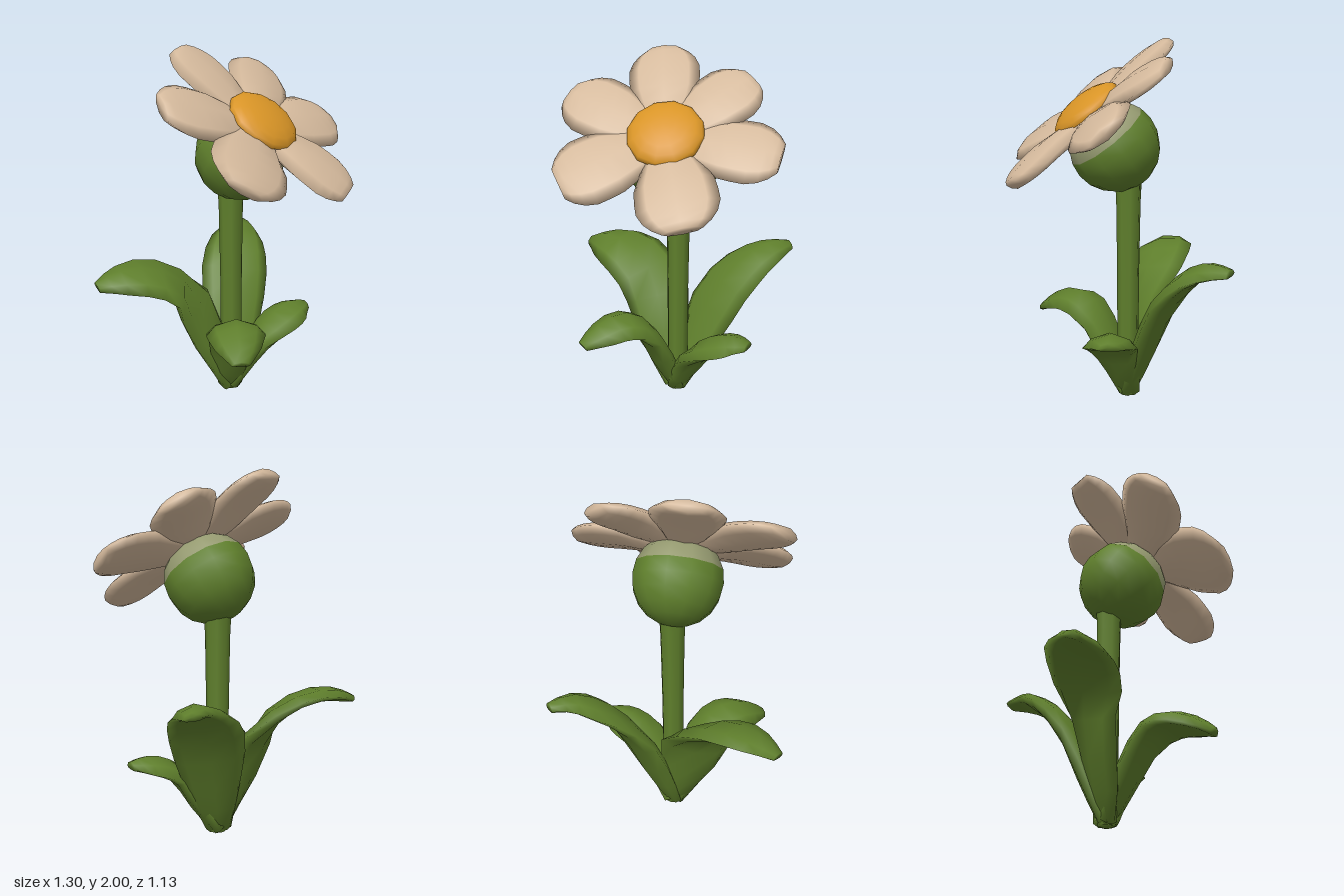
import * as THREE from 'three';

const material = (name, color) => {
  const m = new THREE.MeshStandardMaterial({ color });
  m.name = name;
  return m;
};

// Lofts a soft, closed blade along a spine; each point is [x, y, z, halfWidth, halfThickness, edgeLift].
// The up vector sets how the blade rolls about its spine.
function blade(points, steps, sides, up) {
  const spine = new THREE.CatmullRomCurve3(points.map(p => new THREE.Vector3(p[0], p[1], p[2])));
  const size = new THREE.CatmullRomCurve3(points.map(p => new THREE.Vector3(p[3], p[4], p[5])));
  const pos = [], index = [];
  for (let i = 0; i <= steps; i++) {
    const t = i / steps;
    const c = spine.getPoint(t), s = size.getPoint(t), dir = spine.getTangent(t);
    const side = dir.clone().cross(up).normalize();
    const normal = side.clone().cross(dir);
    for (let j = 0; j < sides; j++) {
      const a = (j / sides) * Math.PI * 2, across = Math.cos(a);
      const p = c.clone()
        .addScaledVector(side, across * s.x)
        .addScaledVector(normal, Math.sin(a) * s.y + across * across * s.z);
      pos.push(p.x, p.y, p.z);
    }
  }
  for (let i = 0; i < steps; i++) {
    for (let j = 0; j < sides; j++) {
      const k = (j + 1) % sides, a = i * sides + j, b = i * sides + k;
      index.push(a, a + sides, b, b, a + sides, b + sides);
    }
  }
  // end caps
  const first = points[0], last = points[points.length - 1], n = pos.length / 3;
  pos.push(first[0], first[1], first[2], last[0], last[1], last[2]);
  const end = steps * sides;
  for (let j = 0; j < sides; j++) {
    const k = (j + 1) % sides;
    index.push(n, j, k, n + 1, end + k, end + j);
  }
  const g = new THREE.BufferGeometry();
  g.setAttribute('position', new THREE.Float32BufferAttribute(pos, 3));
  g.setIndex(index);
  g.computeVertexNormals();
  return g;
}

export function createModel() {
  const green = material('leaf green', 0x5f7f2c);
  const pale = material('pale sepal green', 0x959a70);
  const cream = material('petal cream', 0xd4b99c);
  const orange = material('centre orange', 0xd89426);

  const flower = new THREE.Group();
  flower.name = 'flower';
  const add = (parent, name, geometry, mat) => {
    const m = new THREE.Mesh(geometry, mat);
    m.name = name;
    parent.add(m);
    return m;
  };

  // Stem
  const profile = [[0, 0], [0.05, 0], [0.06, 0.2], [0.062, 0.7], [0.068, 1.1], [0.075, 1.25]];
  add(flower, 'stem', new THREE.LatheGeometry(profile.map(p => new THREE.Vector2(...p)), 8), green)
    .position.set(0.04, 0.005, -0.105);

  // Four fleshy leaves arching out from the base: spine points [x, y, z, halfWidth], edge lifts and roll
  const leaves = {
    backRightLeaf: {
      spine: [[-0.17, 0.61, -0.27, 0.2], [-0.35, 0.745, -0.36, 0.2], [-0.53, 0.76, -0.44, 0.13], [-0.635, 0.725, -0.49, 0.045]],
      lifts: [0, -0.02, -0.03, -0.01], up: [-0.16, 1, 0.22],
    },
    backLeftLeaf: {
      spine: [[0.26, 0.58, -0.27, 0.2], [0.39, 0.75, -0.36, 0.18], [0.51, 0.825, -0.44, 0.11], [0.6, 0.825, -0.53, 0.045]],
      lifts: [0, -0.02, -0.03, -0.01], up: [0.09, 1, 0.11],
    },
    frontRightLeaf: {
      spine: [[-0.125, 0.455, 0.07, 0.16], [-0.22, 0.52, 0.155, 0.16], [-0.32, 0.48, 0.26, 0.12], [-0.385, 0.42, 0.33, 0.05]],
      lifts: [-0.02, -0.05, -0.04, -0.01], up: [0, 1, 0],
    },
    frontLeftLeaf: {
      spine: [[0.21, 0.32, 0.01, 0.14], [0.32, 0.405, 0.04, 0.15], [0.42, 0.435, 0.06, 0.12], [0.5, 0.43, 0.08, 0.05]],
      lifts: [-0.01, -0.04, -0.04, -0.01], up: [0, 1, 0],
    },
  };
  const base = [0.035, 0.02, -0.11];
  for (const [name, { spine, lifts, up }] of Object.entries(leaves)) {
    const mid = base.map((b, i) => b + (spine[0][i] - b) * 0.46);
    const rows = [
      [...base, 0.07, 0.04, 0],
      [...mid, spine[0][3] * 0.74, 0.055, 0.02],
      ...spine.map((p, i) => [...p, [0.052, 0.046, 0.037, 0.022][i], lifts[i]]),
    ];
    add(flower, name, blade(rows, 9, 8, new THREE.Vector3(...up)), green);
  }

  // Flower head tilts up and forward
  const worldUp = new THREE.Vector3(0, 1, 0);
  const tilt = new THREE.Quaternion().setFromUnitVectors(
    worldUp, new THREE.Vector3(0.07, 1, 0.81).normalize());

  // Bulb with a pale cap beneath the petals
  const bulb = new THREE.Group();
  bulb.name = 'bulb';
  bulb.position.set(0.03, 1.415, -0.03);
  bulb.quaternion.copy(tilt);
  const split = 1.27;
  add(bulb, 'bulbBody', new THREE.SphereGeometry(0.25, 12, 6, 0, Math.PI * 2, split, Math.PI - split), green);
  add(bulb, 'bulbCap', new THREE.SphereGeometry(0.25, 12, 4, 0, Math.PI * 2, 0, split), pale);
  flower.add(bulb);

  const head = new THREE.Group();
  head.name = 'flowerHead';
  head.position.set(0.03, 1.598, 0.11);
  head.quaternion.copy(tilt);
  flower.add(head);

  // Plump petals: [angle in degrees, width scale, length scale, lift]
  const petals = [
    [-3, 0.97, 1, -0.005], [49, 0.95, 0.92, 0.005], [105, 0.97, 0.97, 0],
    [161, 0.98, 1, -0.005], [218, 1.1, 0.98, 0], [293, 1.08, 0.95, 0.012],
  ];
  petals.forEach(([angle, width, length, lift], i) => {
    const rows = [
      [0.07, -0.03, 0, 0.1, 0.05, 0],
      [0.21, -0.015, 0, 0.15, 0.053, 0],
      [0.34, 0, 0, 0.195, 0.05, 0],
      [0.46, 0.002, 0, 0.2, 0.047, 0],
      [0.56, 0, 0, 0.165, 0.042, 0],
      [0.62, -0.003, 0, 0.095, 0.032, 0],
    ].map(r => [r[0] * length, r[1], r[2], r[3] * width, r[4], r[5]]);
    const p = add(head, 'petal' + (i + 1), blade(rows, 8, 8, worldUp), cream);
    p.rotation.y = THREE.MathUtils.degToRad(angle);
    p.position.y = lift;
  });

  // Domed centre
  const dome = add(head, 'flowerCentre', new THREE.SphereGeometry(0.21, 12, 5, 0, Math.PI * 2, 0, Math.PI / 2), orange);
  dome.scale.y = 0.38;
  dome.position.set(0.005, 0.025, 0);

  return flower;
}
